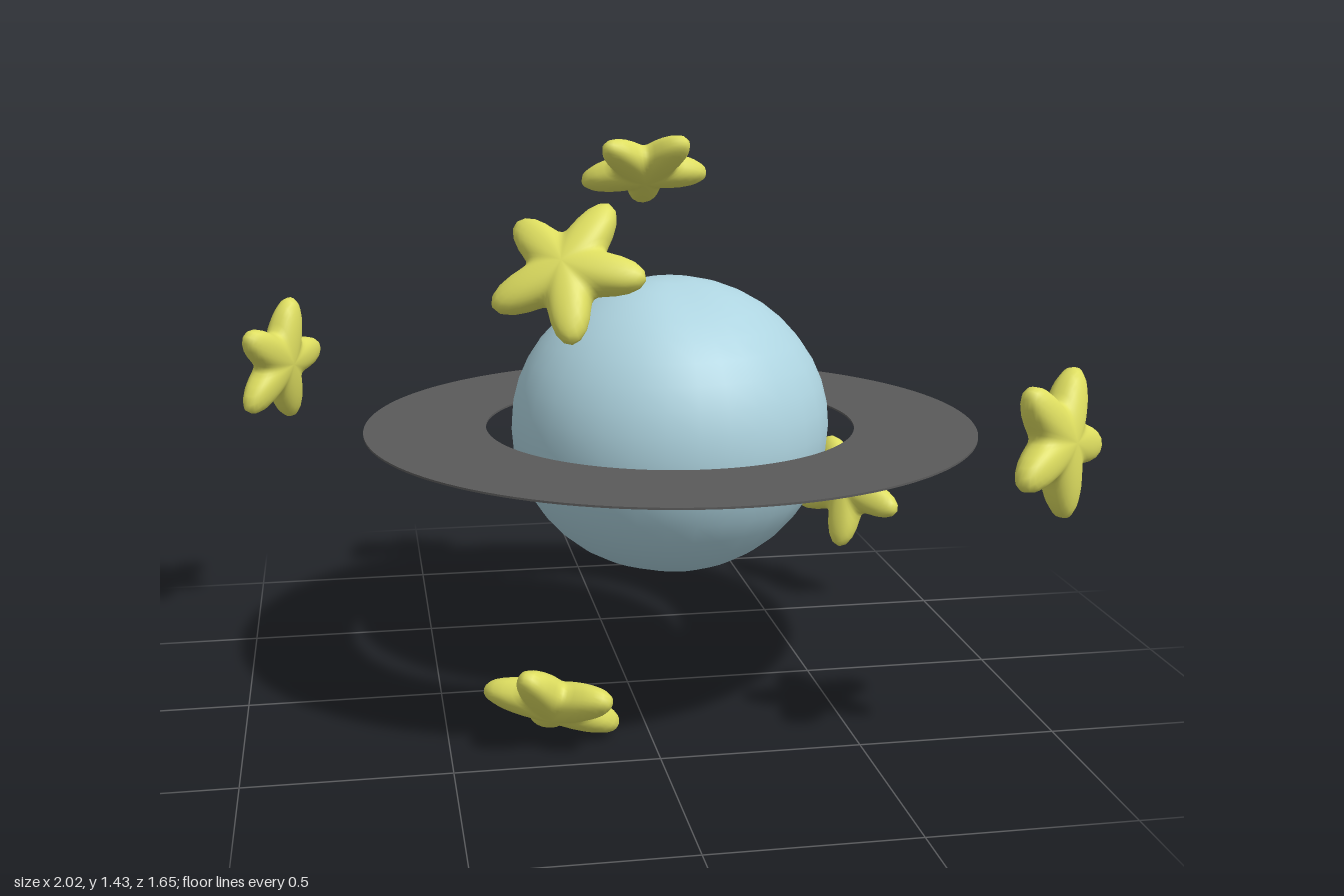
import * as THREE from 'three';
import { mergeVertices } from 'three/addons/utils/BufferGeometryUtils.js';

const planetMat = new THREE.MeshStandardMaterial({ color: 0xaed4e0 });
const ringMat = new THREE.MeshStandardMaterial({ color: 0x5a5a5a });
const starMat = new THREE.MeshStandardMaterial({ color: 0xdede60 });
const centre = new THREE.Vector3(0.115, 0.697, -0.018);

// Unit sphere whose vertices are moved by a rule, welded and smooth
function shapedSphere(w, h, rule) {
  let g = new THREE.SphereGeometry(1, w, h);
  g.deleteAttribute('uv');
  g.deleteAttribute('normal');
  g = mergeVertices(g, 1e-5);
  const p = g.attributes.position, v = new THREE.Vector3();
  for (let i = 0; i < p.count; i++) {
    rule(v.fromBufferAttribute(p, i));
    p.setXYZ(i, v.x, v.y, v.z);
  }
  g.computeVertexNormals();
  return g;
}

// Planet: slightly squashed ball with a few shallow dents
function planetGeometry() {
  const dents = [
    [0.05, 0.95, 0.3, 0.022], [0.62, 0.7, 0.35, 0.015],
    [0.1, 0.8, 0.6, 0.02], [-0.2, -0.95, 0.2, 0.012],
  ].map(([x, y, z, depth]) => ({ dir: new THREE.Vector3(x, y, z).normalize(), depth }));
  return shapedSphere(32, 20, (v) => {
    let r = 1;
    for (const { dir, depth } of dents) r -= depth * Math.exp(-v.distanceToSquared(dir) / 0.04);
    v.multiply(new THREE.Vector3(0.415, 0.388, 0.405)).multiplyScalar(r);
  });
}

// Puffy five-pointed star: lies in the XY plane, first tip along +Y
function starGeometry() {
  return shapedSphere(60, 20, (v) => {
    // turn the poles from Y to Z
    const x = v.x, y = -v.z, z = v.y;
    const angle = Math.atan2(x, y);
    const tip = Math.pow((1 + Math.cos(5 * angle)) / 2, 1.15);
    const r = 0.095 + 0.088 * tip;
    v.set(x * r, y * r, Math.sign(z) * Math.pow(Math.abs(z), 0.85) * 0.05);
  });
}

// Flat ring around the planet
function ringGeometry() {
  const s = new THREE.Shape().absarc(0, 0, 0.795, 0, Math.PI * 2);
  s.holes.push(new THREE.Path().absarc(0, 0, 0.48, 0, Math.PI * 2, true));
  return new THREE.ExtrudeGeometry(s, { depth: 0.005, bevelEnabled: false, curveSegments: 64 })
    .translate(0, 0, -0.0025).rotateX(-Math.PI / 2);
}

// Each star: position, outward facing direction, direction of one tip
const stars = [
  { name: 'upperFrontStar', at: [-0.23, 1.2, 0.595], out: [-0.36, 0.62, 0.7], tip: [-0.01, -0.13, 0.12] },
  { name: 'topStar', at: [0.115, 1.325, -0.41], out: [0, 0.85, -0.53], tip: [0.02, -0.1, -0.15] },
  { name: 'rightBackStar', at: [-0.9, 0.79, -0.545], out: [-0.83, 0.09, -0.56], tip: [0.1, 0.01, -0.137] },
  { name: 'leftFrontStar', at: [0.875, 0.8, 0.72], out: [0.62, 0.1, 0.78], tip: [0.02, -0.165, 0] },
  { name: 'leftBackStar', at: [0.78, 0.335, -0.59], out: [0.7, -0.38, -0.6], tip: [-0.045, -0.16, 0.056] },
  { name: 'lowerFrontStar', at: [-0.24, 0.1, 0.375], out: [-0.3, -0.78, 0.55], tip: [-0.165, 0.02, -0.06] },
];

export function createModel() {
  const model = new THREE.Group();
  model.name = 'ringedPlanetWithStars';
  const add = (name, geometry, material, at) => {
    const mesh = new THREE.Mesh(geometry, material);
    mesh.name = name;
    mesh.position.copy(at);
    model.add(mesh);
    return mesh;
  };

  add('planet', planetGeometry(), planetMat, centre);
  add('ring', ringGeometry(), ringMat, centre);

  // Stars floating around, facing away from the planet
  const star = starGeometry();
  for (const { name, at, out, tip } of stars) {
    const z = new THREE.Vector3(...out).normalize();
    const y = new THREE.Vector3(...tip).projectOnPlane(z).normalize();
    const x = new THREE.Vector3().crossVectors(y, z);
    add(name, star, starMat, new THREE.Vector3(...at))
      .quaternion.setFromRotationMatrix(new THREE.Matrix4().makeBasis(x, y, z));
  }
  return model;
}
